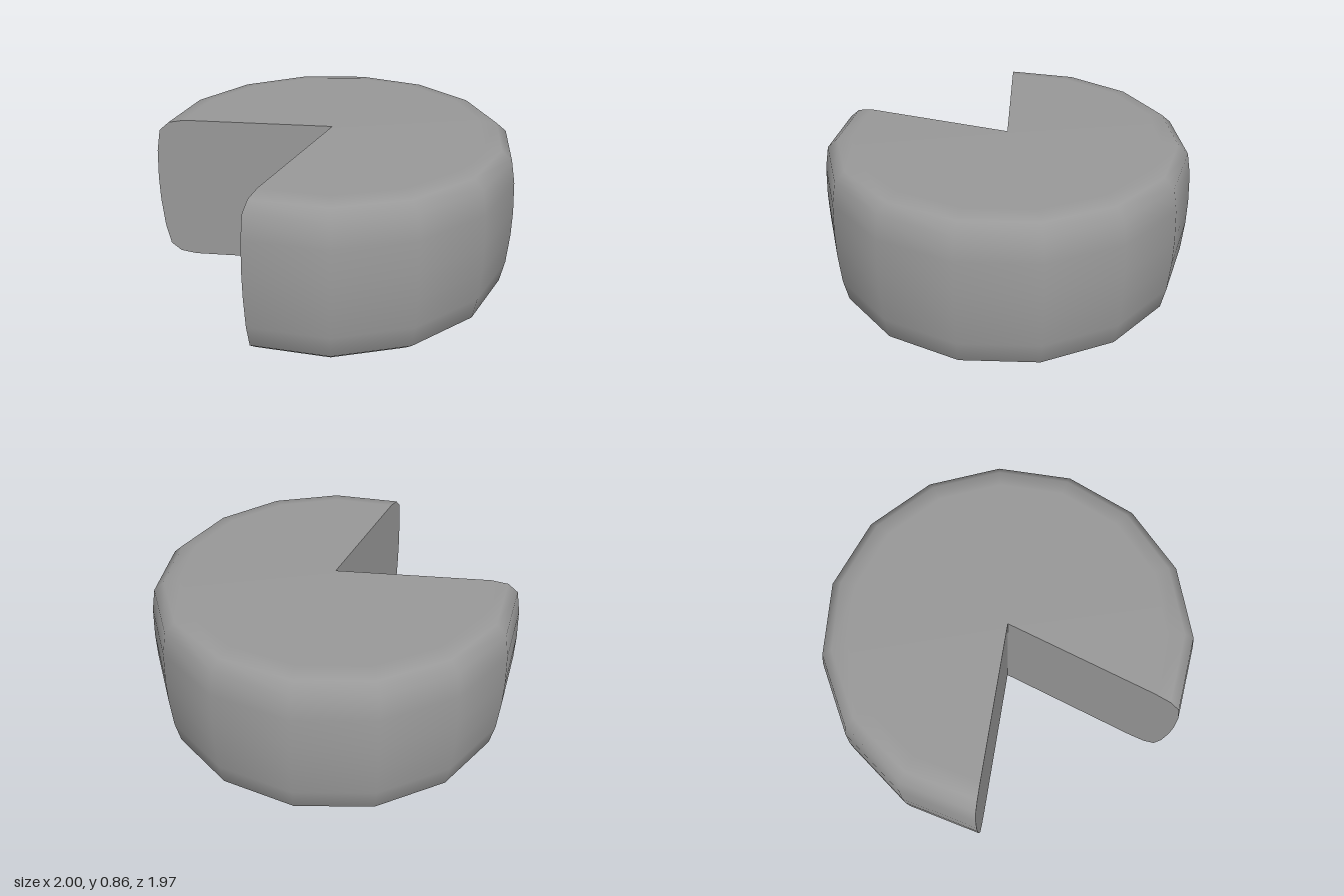
import * as THREE from 'three';

export function createModel() {
  const group = new THREE.Group();
  const material = new THREE.MeshStandardMaterial({ color: 0x999999 });
  const deg = THREE.MathUtils.degToRad;
  const H = 0.86, START = 18, SWEEP = 288;

  // half section of the wheel, from the axis out to the rim, mirrored for the top
  const lower = [[0, 0], [0.83, 0], [0.92, 0.016], [0.976, 0.065], [1, 0.19], [1.011, 0.36]];
  const section = [...lower, ...lower.map(([r, y]) => [r, H - y]).reverse()]
    .map(([r, y]) => new THREE.Vector2(r, y));

  // rounded wheel with a fifth left out
  const wheel = new THREE.Mesh(
    new THREE.LatheGeometry(section, 12, deg(START), deg(SWEEP)), material);
  wheel.name = 'wheel';
  group.add(wheel);

  // flat faces closing the cut; side -1 mirrors the section so it faces the gap
  const addCutFace = (name, angle, side) => {
    const shape = new THREE.Shape(section.map(p => new THREE.Vector2(side * p.x, p.y)));
    const face = new THREE.Mesh(new THREE.ShapeGeometry(shape), material);
    face.rotation.y = deg(angle - side * 90);
    face.name = name;
    group.add(face);
  };
  addCutFace('leftCutFace', START, 1);
  addCutFace('rightCutFace', START + SWEEP, -1);

  // centre the cut wheel's bounds
  group.children.forEach(mesh => mesh.position.set(-0.011, 0, 0.022));
  return group;
}
